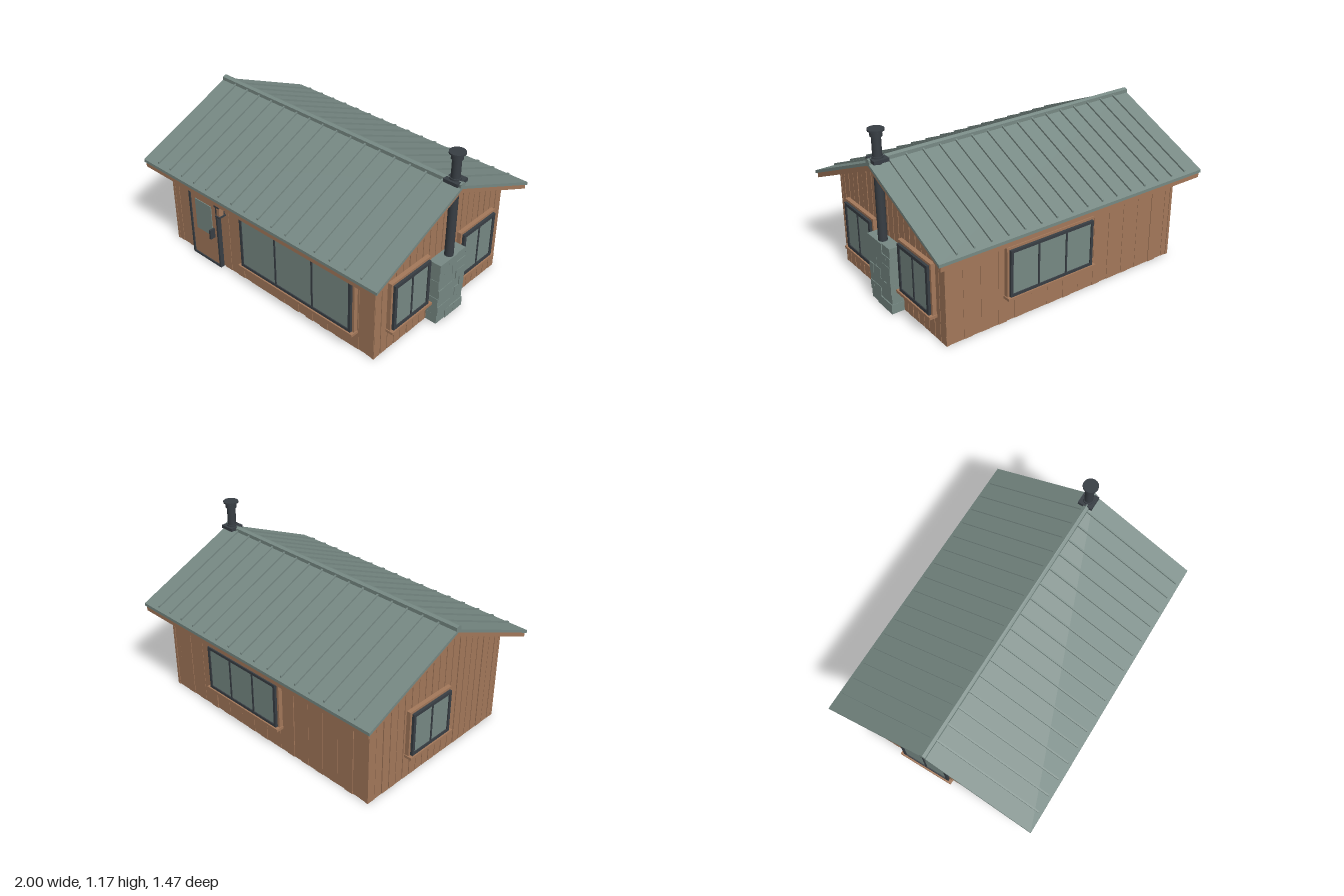
import * as THREE from 'three';

const wood = new THREE.MeshStandardMaterial({ name: 'cedarWood', color: 0xa3785a });
const teal = new THREE.MeshStandardMaterial({ name: 'greyGreen', color: 0x778984 });
const dark = new THREE.MeshStandardMaterial({ name: 'charcoalMetal', color: 0x383e44 });

const SLOPE = 0.442; // roof rise per unit of depth
const HX = 0.89, HZ = 0.61; // half size of the walls

// Small seeded generator for board and stone depth
let seed = 7;
const rand = () => (seed = (seed * 16807) % 2147483647) / 2147483647;

function add(parent, name, geometry, material) {
  const mesh = new THREE.Mesh(geometry, material);
  mesh.name = name;
  parent.add(mesh);
  return mesh;
}

// Box given by its two opposite corners
function box(parent, name, material, x0, x1, y0, y1, z0, z1) {
  const mesh = add(parent, name, new THREE.BoxGeometry(x1 - x0, y1 - y0, z1 - z0), material);
  mesh.position.set((x0 + x1) / 2, (y0 + y1) / 2, (z0 + z1) / 2);
  return mesh;
}

// Outline of [z, y] points extruded along x
function extrudeX(parent, name, material, points, x0, x1) {
  const shape = new THREE.Shape(points.map(([z, y]) => new THREE.Vector2(-z, y)));
  const geo = new THREE.ExtrudeGeometry(shape, { depth: x1 - x0, bevelEnabled: false });
  geo.rotateY(Math.PI / 2);
  geo.translate(x0, 0, 0);
  return add(parent, name, geo, material);
}

// Rectangular border, w by h outside, standing on y = 0
function border(parent, name, material, w, h, t, y, depth) {
  box(parent, name, material, -w / 2, -w / 2 + t, y, y + h, 0, depth);
  box(parent, name, material, w / 2 - t, w / 2, y, y + h, 0, depth);
  box(parent, name, material, -w / 2 + t, w / 2 - t, y + h - t, y + h, 0, depth);
  box(parent, name, material, -w / 2 + t, w / 2 - t, y, y + t, 0, depth);
}

// Window facing +z, with its sill at y = 0
function makeWindow(name, w, h, panes, frame) {
  const g = new THREE.Group();
  g.name = name;
  const iw = w - 0.032, ih = h - 0.032;
  border(g, 'windowTrim', wood, w, h, 0.018, 0, 0.028);
  border(g, 'windowFrame', dark, iw, ih, frame, 0.016, 0.045);
  box(g, 'windowGlass', teal, -iw / 2 + 0.005, iw / 2 - 0.005, 0.02, ih + 0.01, 0, 0.038);
  for (let i = 1; i < panes; i++) {
    const x = -iw / 2 + (iw * i) / panes;
    box(g, 'mullion', dark, x - 0.006, x + 0.006, 0.02, ih + 0.01, 0, 0.043);
  }
  box(g, 'windowSill', wood, -w / 2 - 0.006, w / 2 + 0.006, -0.002, 0.016, 0, 0.055);
  return g;
}

function makeWalls() {
  const g = new THREE.Group();
  g.name = 'walls';
  box(g, 'wallCore', wood, -HX + 0.015, HX - 0.015, 0, 0.68, -HZ + 0.012, HZ - 0.012);
  // Gable boards with narrow gaps, cut to the roof line
  const pitch = (2 * HZ) / 20;
  for (const s of [-1, 1]) {
    for (let i = 0; i < 20; i++) {
      const a = -HZ + i * pitch + (i ? 0.003 : 0);
      const b = -HZ + (i + 1) * pitch - (i < 19 ? 0.003 : 0);
      const top = (z) => 0.935 - SLOPE * Math.abs(z);
      const out = HX - rand() * 0.003;
      extrudeX(g, 'gableBoard', wood, [[a, 0], [a, top(a)], [b, top(b)], [b, 0]],
        s > 0 ? out - 0.02 : -out, s > 0 ? out : -out + 0.02);
    }
    // Long wall boards, each a little in or out
    for (let i = 0; i < 29; i++) {
      const p = (2 * HX) / 29, x = -HX + i * p;
      const out = HZ - (i % 2) * 0.003 - rand() * 0.004;
      box(g, 'wallBoard', wood, x, x + p, 0, 0.665, s > 0 ? out - 0.02 : -out, s > 0 ? out : -out + 0.02);
    }
  }
  return g;
}

function makeRoof() {
  const g = new THREE.Group();
  g.name = 'roof';
  const layer = (zMax, apex, thick) => [
    [-zMax, apex - SLOPE * zMax - thick], [-zMax, apex - SLOPE * zMax], [0, apex],
    [zMax, apex - SLOPE * zMax], [zMax, apex - SLOPE * zMax - thick], [0, apex - thick],
  ];
  extrudeX(g, 'roofDeck', wood, layer(0.73, 0.95, 0.036), -0.988, 0.988);
  extrudeX(g, 'metalRoof', teal, layer(0.735, 0.968, 0.02), -1, 1);
  extrudeX(g, 'ridgeCap', teal, layer(0.02, 0.992, 0.03), -1, 1);
  // Standing seams
  for (let i = 0; i < 16; i++) {
    const x = -0.872 + i * 0.1162;
    extrudeX(g, 'roofSeam', teal, layer(0.715, 0.981, 0.02), x - 0.005, x + 0.005);
  }
  return g;
}

function makeDoor() {
  const g = new THREE.Group();
  g.name = 'door';
  border(g, 'doorFrame', dark, 0.276, 0.53, 0.015, 0, 0.03);
  box(g, 'doorPanel', wood, -0.125, 0.125, 0.008, 0.52, 0, 0.022);
  box(g, 'doorGlass', teal, -0.08, 0.076, 0.225, 0.457, 0.018, 0.027);
  box(g, 'doorHandle', dark, 0.081, 0.095, 0.225, 0.295, 0.02, 0.06);
  g.position.set(-0.55, 0, HZ);
  return g;
}

function makeLamp() {
  const g = new THREE.Group();
  g.name = 'wallLamp';
  box(g, 'lampBack', dark, -0.01, 0.01, 0.44, 0.52, 0, 0.012);
  box(g, 'lampBody', wood, -0.013, 0.013, 0.44, 0.515, 0.012, 0.048);
  box(g, 'lampTop', dark, -0.023, 0.023, 0.512, 0.524, 0, 0.06);
  box(g, 'lampBottom', dark, -0.021, 0.021, 0.432, 0.442, 0, 0.056);
  g.position.set(-0.378, 0, HZ);
  return g;
}

function makeChimney() {
  const g = new THREE.Group();
  g.name = 'chimney';
  // Stone base laid in staggered courses
  const rows = 7, h = 0.45 / rows, z0 = -0.125, z1 = 0.125;
  for (let r = 0; r < rows; r++) {
    const cuts = r % 2 ? [0, 0.18, 0.5, 0.82, 1] : [0, 0.34, 0.67, 1];
    for (let i = 0; i + 1 < cuts.length; i++) {
      const a = z0 + cuts[i] * (z1 - z0) - (i ? 0 : rand() * 0.004);
      const b = z0 + cuts[i + 1] * (z1 - z0) + (i + 2 < cuts.length ? 0 : rand() * 0.004);
      box(g, 'stoneBlock', teal, -0.06, 0.031 + rand() * 0.008, r * h, (r + 1) * h, a, b);
    }
  }
  const pipe = (name, r, y0, y1) => {
    add(g, name, new THREE.CylinderGeometry(r, r, y1 - y0, 16), dark).position.y = (y0 + y1) / 2;
  };
  pipe('stovePipe', 0.029, 0.44, 1.16);
  pipe('pipeCollar', 0.037, 1.122, 1.15);
  pipe('rainCap', 0.051, 1.157, 1.167);
  box(g, 'roofFlashing', dark, -0.05, 0.05, 0.968, 0.99, -0.05, 0.05);
  pipe('flashingRing', 0.036, 0.985, 1.0);
  g.position.set(0.938, 0, -0.01);
  return g;
}

export function createModel() {
  const model = new THREE.Group();
  model.name = 'cabin';
  model.add(makeWalls(), makeRoof(), makeDoor(), makeLamp(), makeChimney());

  // Windows: name, width, height, panes, frame, position, turn
  const windows = [
    ['frontWindow', 0.96, 0.415, 3, 0.018, [0.28, 0.133, HZ], 0],
    ['backWindow', 0.66, 0.345, 3, 0.018, [0.15, 0.175, -HZ], Math.PI],
    ['leftFrontWindow', 0.36, 0.357, 2, 0.022, [HX, 0.155, 0.323], Math.PI / 2],
    ['leftBackWindow', 0.36, 0.357, 2, 0.022, [HX, 0.155, -0.334], Math.PI / 2],
    ['rightWindow', 0.38, 0.33, 2, 0.02, [-HX, 0.168, -0.1], -Math.PI / 2],
  ];
  for (const [name, w, h, panes, frame, pos, turn] of windows) {
    const win = makeWindow(name, w, h, panes, frame);
    win.position.set(...pos);
    win.rotation.y = turn;
    model.add(win);
  }
  return model;
}
